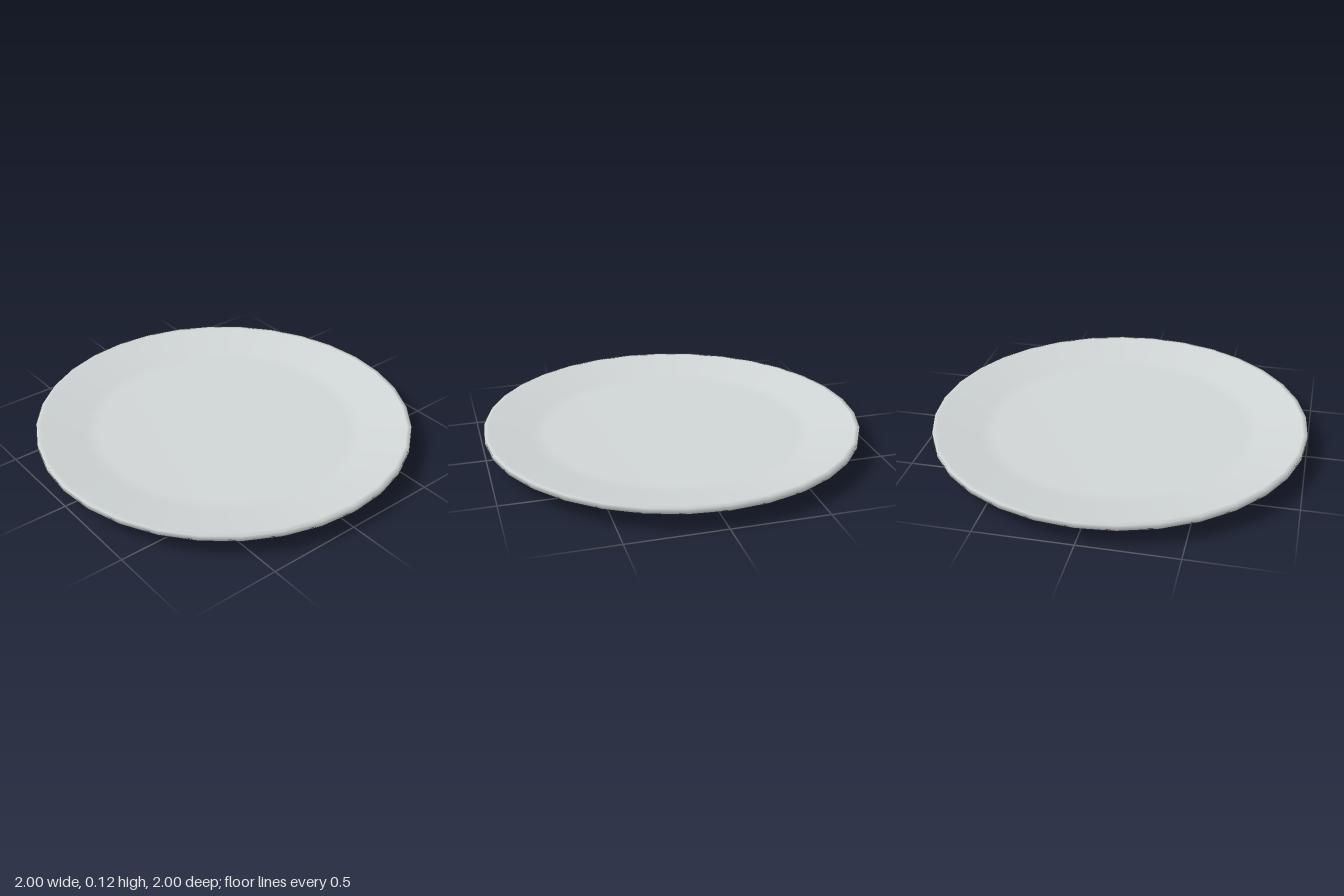
import * as THREE from 'three';

// Round dinner plate: one closed, smooth turned profile with 32 sides.
export function createModel() {
  const glaze = new THREE.MeshStandardMaterial({ color: 0xd0d5d5 });
  glaze.name = 'pale grey glaze';

  const profile = [
    // recessed underside
    [0, 0.035], [0.56, 0.035], [0.68, 0.03],
    // foot ring
    [0.69, 0], [0.73, 0], [0.73, 0.045],
    // sloping underside and rim edge
    [1, 0.095], [1, 0.125],
    // lip, sloping upper side and flat well
    [0.975, 0.125], [0.75, 0.078], [0.67, 0.07], [0, 0.07],
  ].map(([r, y]) => new THREE.Vector2(r, y));

  const plate = new THREE.Mesh(new THREE.LatheGeometry(profile, 32), glaze);
  plate.name = 'plate';

  const group = new THREE.Group();
  group.name = 'dinnerPlate';
  group.add(plate);
  return group;
}
